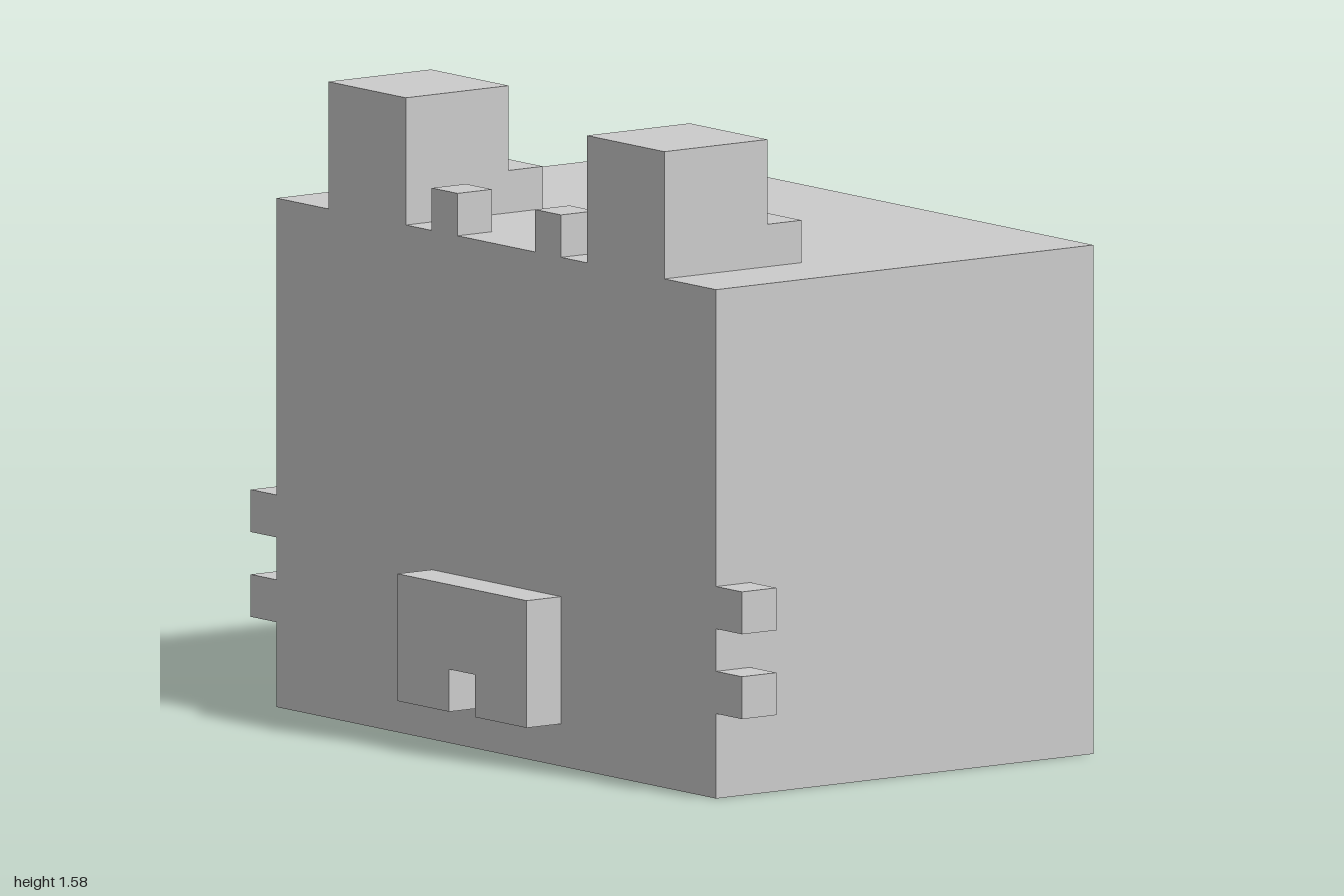
import * as THREE from 'three';

// One voxel; the model is 19 voxels wide.
const U = 2 / 19;

export function createModel() {
  const model = new THREE.Group();
  const material = new THREE.MeshStandardMaterial({ color: 0xcccccc, flatShading: true });

  const add = (name, geometry) => {
    geometry.scale(U, U, U);
    const mesh = new THREE.Mesh(geometry, material);
    mesh.name = name;
    model.add(mesh);
  };

  // Box between two corners, in voxels
  const box = (name, [x0, y0, z0], [x1, y1, z1]) => {
    const geometry = new THREE.BoxGeometry(x1 - x0, y1 - y0, z1 - z0);
    geometry.translate((x0 + x1) / 2, (y0 + y1) / 2, (z0 + z1) / 2);
    add(name, geometry);
  };

  const extrude = (points, depth) => new THREE.ExtrudeGeometry(
    new THREE.Shape(points.map(([x, y]) => new THREE.Vector2(x, y))),
    { depth, bevelEnabled: false }
  );

  // Head
  box('head', [-8.5, 0, -6], [8.5, 12, 5]);

  // Muzzle with a mouth notch
  const muzzle = extrude([
    [-2.5, 1], [-0.5, 1], [-0.5, 2], [0.5, 2], [0.5, 1], [2.5, 1], [2.5, 4], [-2.5, 4]
  ], 1);
  muzzle.translate(0, 0, 5);
  add('muzzle', muzzle);

  for (const [side, s] of [['left', 1], ['right', -1]]) {
    // Ear, stepped at the back: profile in z and y, extruded along x
    const ear = extrude([[1, 12], [5, 12], [5, 15], [2, 15], [2, 13], [1, 13]], 3);
    ear.rotateY(-Math.PI / 2);
    ear.translate(s * 5 + 1.5, 0, 0);
    add(side + 'Ear', ear);

    // Forehead tuft
    box(side + 'Tuft', [s * 2 - 0.5, 12, 4], [s * 2 + 0.5, 13, 5]);

    // Whiskers
    for (const [level, y] of [['Lower', 2], ['Upper', 4]]) {
      box(side + level + 'Whisker', [s * 9 - 0.5, y, 4], [s * 9 + 0.5, y + 1, 5]);
    }
  }

  return model;
}
